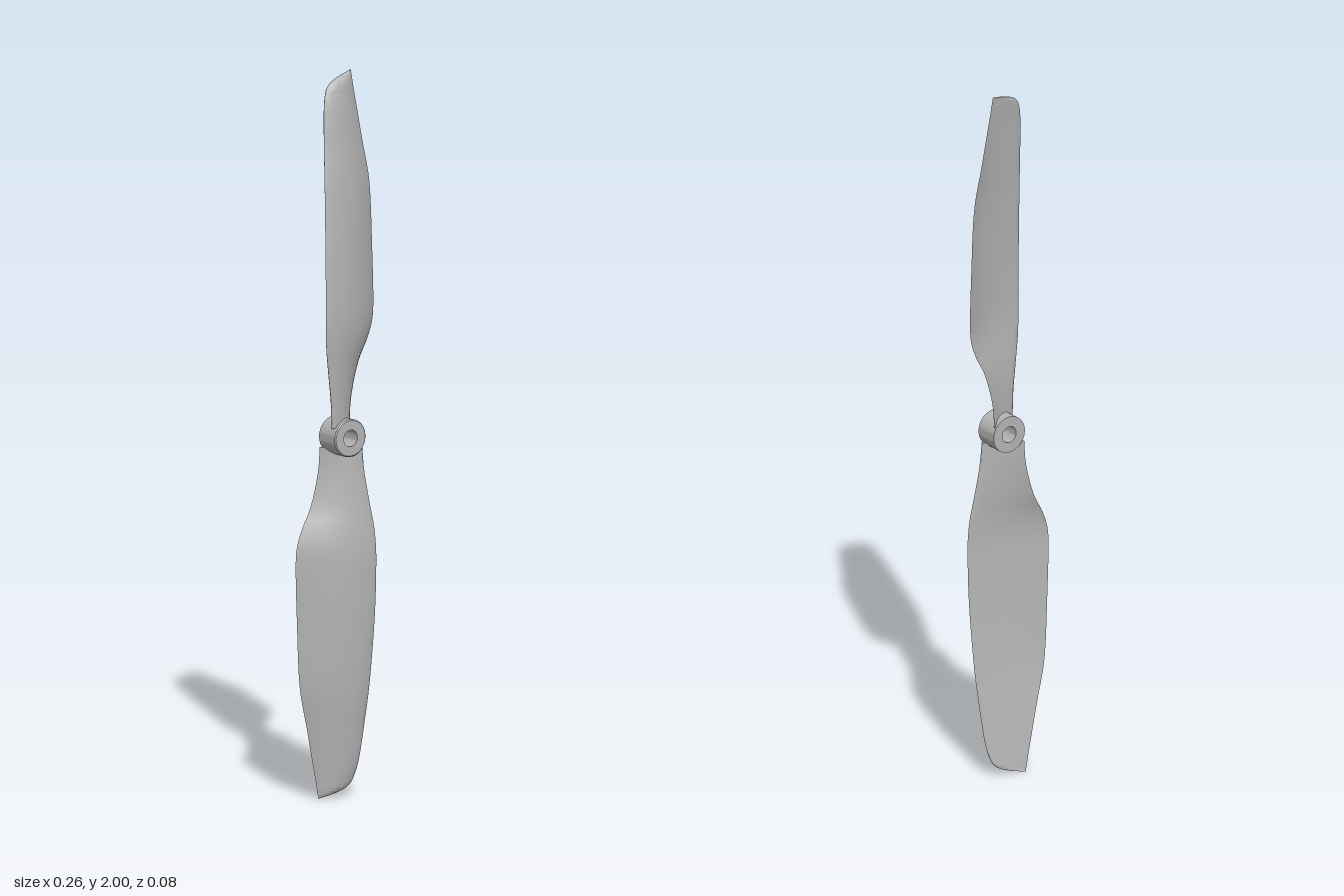
import * as THREE from 'three';
import { toCreasedNormals } from 'three/addons/utils/BufferGeometryUtils.js';

const BACK = -0.045; // flat rear plane shared by the hub and the trailing edges

// Blade stations: [radius, leading x, trailing x, leading z]
const STATIONS = [
  [0.03, -0.051, 0.05, 0.012],
  [0.1, -0.056, 0.056, 0.015],
  [0.19, -0.07, 0.08, 0.021],
  [0.25, -0.08, 0.11, 0.026],
  [0.3, -0.084, 0.127, 0.029],
  [0.36, -0.085, 0.131, 0.03],
  [0.5, -0.083, 0.127, 0.026],
  [0.68, -0.076, 0.118, 0.013],
  [0.8, -0.068, 0.094, -0.001],
  [0.9, -0.059, 0.074, -0.014],
  [0.95, -0.047, 0.064, -0.023],
  [0.973, -0.03, 0.06, -0.028],
  [0.988, 0.003, 0.057, -0.034],
  [1.0, 0.051, 0.055, -0.045],
];

// Cambered airfoil sections lofted from root to tip
function bladeGeometry(rings = 65, sides = 32) {
  const lead = new THREE.CatmullRomCurve3(
    STATIONS.map(([r, l, , z]) => new THREE.Vector3(l, r, z)), false, 'catmullrom', 0.5);
  const trail = new THREE.CatmullRomCurve3(
    STATIONS.map(([r, , t]) => new THREE.Vector3(t, r, BACK)), false, 'catmullrom', 0.5);
  const pos = [], index = [];
  for (let i = 0; i <= rings; i++) {
    const a = lead.getPoint(i / rings), b = trail.getPoint(i / rings);
    const dx = b.x - a.x, dz = b.z - a.z, chord = Math.hypot(dx, dz);
    for (let j = 0; j < sides; j++) {
      const angle = (j / sides) * Math.PI * 2;
      const t = (1 - Math.cos(angle)) / 2;
      const half = 0.023 * Math.sqrt(t) * (1 - t) * Math.min(1, chord / 0.1);
      const lift = 0.09 * chord * 4 * t * (1 - t) + (j <= sides / 2 ? half : -half);
      pos.push(a.x + dx * t - (dz / chord) * lift, a.y, Math.max(BACK, a.z + dz * t + (dx / chord) * lift));
    }
  }
  for (let i = 0; i < rings; i++) {
    for (let j = 0; j < sides; j++) {
      const k = (j + 1) % sides;
      const a = i * sides + j, b = i * sides + k;
      index.push(a, b, a + sides, b, b + sides, a + sides);
    }
  }
  // End caps
  const top = rings * sides;
  for (let j = 1; j < sides - 1; j++) {
    index.push(0, j + 1, j, top, top + j, top + j + 1);
  }
  const geo = new THREE.BufferGeometry();
  geo.setAttribute('position', new THREE.Float32BufferAttribute(pos, 3));
  geo.setIndex(index);
  return toCreasedNormals(geo, 1);
}

// Ring with a shaft hole, turned so that its axis runs along z
function hubGeometry() {
  const profile = [
    [0.023, BACK], [0.052, BACK], [0.052, 0.025], [0.049, 0.028], [0.023, 0.028], [0.023, BACK],
  ].map(([r, h]) => new THREE.Vector2(r, h));
  return toCreasedNormals(new THREE.LatheGeometry(profile, 48).rotateX(Math.PI / 2), 0.5);
}

export function createModel() {
  const grey = new THREE.MeshStandardMaterial({ color: 0xb4b4b4 });
  grey.name = 'grey plastic';

  const model = new THREE.Group();
  model.name = 'propeller';

  const hub = new THREE.Mesh(hubGeometry(), grey);
  hub.name = 'hub';
  hub.position.y = 1;
  model.add(hub);

  // Two identical blades, half a turn apart
  const blade = bladeGeometry();
  ['upperBlade', 'lowerBlade'].forEach((name, i) => {
    const mesh = new THREE.Mesh(blade, grey);
    mesh.name = name;
    mesh.position.y = 1;
    mesh.rotation.z = i * Math.PI;
    model.add(mesh);
  });
  return model;
}
